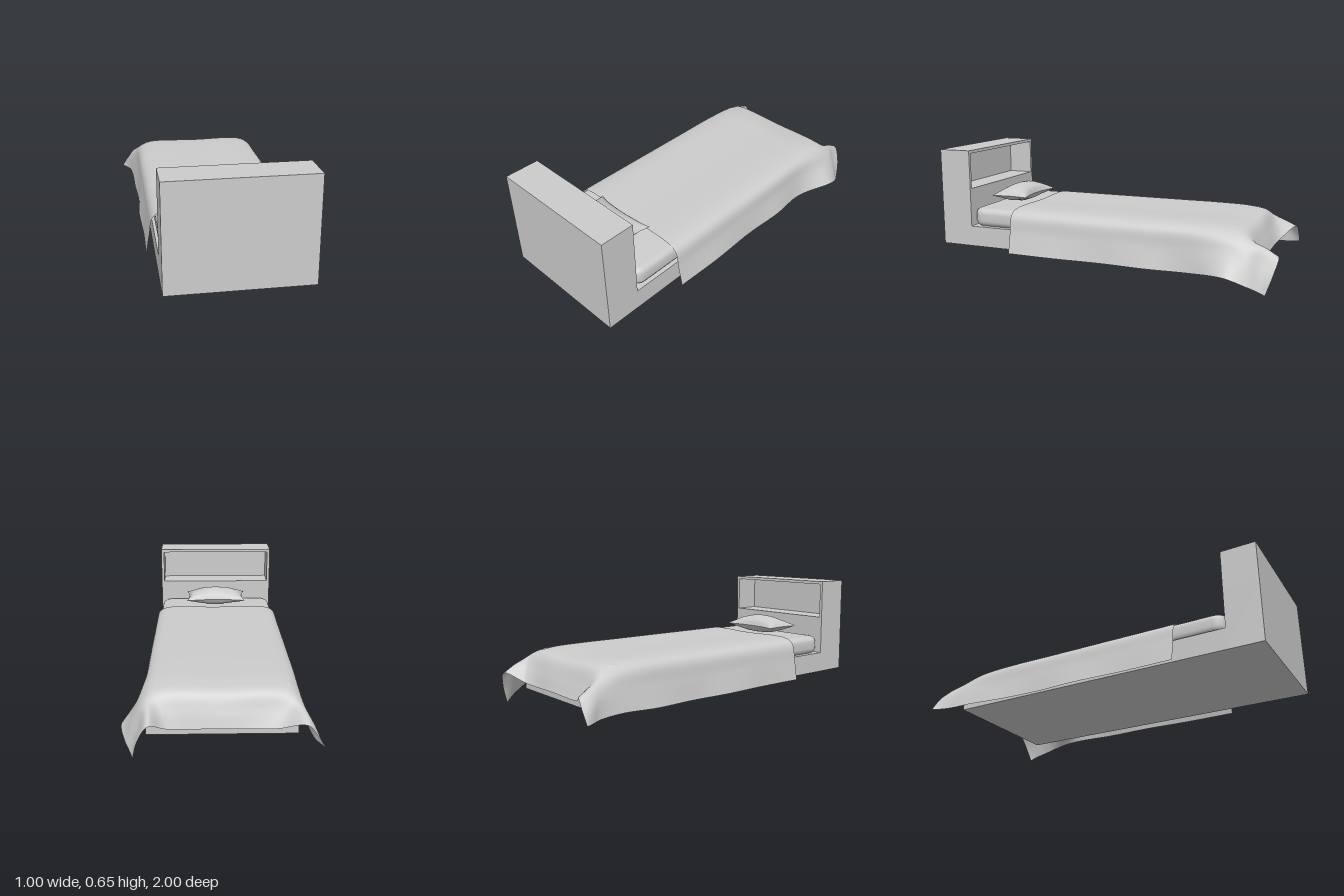
import * as THREE from 'three';
import { toCreasedNormals } from 'three/addons/utils/BufferGeometryUtils.js';

const CX = -0.0075; // centre line of the frame
const WIDTH = 0.755;

// Grid surface: fn(u, v) with u, v in 0..1 gives a point; u runs to +x, v towards -z for an upward face
function sheet(nu, nv, fn) {
  const g = new THREE.PlaneGeometry(1, 1, nu, nv);
  const pos = g.attributes.position;
  for (let i = 0; i < pos.count; i++) {
    const p = fn(pos.getX(i) + 0.5, pos.getY(i) + 0.5);
    pos.setXYZ(i, p.x, p.y, p.z);
  }
  g.computeVertexNormals();
  return g;
}

function roundedRect(w, h, r) {
  const s = new THREE.Shape();
  const x = w / 2, y = h / 2;
  s.absarc(x - r, y - r, r, 0, Math.PI / 2);
  s.absarc(-x + r, y - r, r, Math.PI / 2, Math.PI);
  s.absarc(-x + r, -y + r, r, Math.PI, Math.PI * 1.5);
  s.absarc(x - r, -y + r, r, Math.PI * 1.5, Math.PI * 2);
  s.closePath();
  return s;
}

function mattressGeometry() {
  const bevel = 0.035;
  const g = new THREE.ExtrudeGeometry(roundedRect(0.735 - 2 * bevel, 1.61 - 2 * bevel, 0.035), {
    depth: 0.108 - 2 * bevel, bevelEnabled: true, bevelSize: bevel,
    bevelThickness: bevel, bevelSegments: 5, curveSegments: 6,
  });
  g.rotateX(-Math.PI / 2);
  g.translate(CX, 0.198 + bevel, 0);
  return toCreasedNormals(g, 0.7);
}

// Blanket cross-sections, left hem to right hem, as x, y, z triples
function blanketGeometry() {
  const side = [[-0.43, 0.07], [-0.41, 0.19], [-0.392, 0.28], [-0.345, 0.312], [0, 0.316],
    [0.33, 0.312], [0.377, 0.28], [0.395, 0.19], [0.42, 0.07]];
  const straight = (z, k) => side.flatMap(([x, y], i) => [x + (i === 0 || i === 8 ? k : 0), y, z]);
  const foot = [
    [-0.44, 0.08, -0.76, -0.415, 0.19, -0.75, -0.39, 0.27, -0.74, -0.34, 0.305, -0.74, 0, 0.31, -0.74,
      0.33, 0.305, -0.74, 0.385, 0.27, -0.74, 0.43, 0.19, -0.75, 0.5, 0.09, -0.75],
    [-0.455, 0.075, -0.9, -0.43, 0.18, -0.87, -0.39, 0.25, -0.84, -0.33, 0.285, -0.83, 0, 0.287, -0.83,
      0.32, 0.285, -0.83, 0.38, 0.25, -0.85, 0.43, 0.17, -0.85, 0.475, 0.05, -0.86],
    [-0.48, 0.07, -0.96, -0.45, 0.16, -0.94, -0.4, 0.22, -0.92, -0.31, 0.21, -0.88, 0, 0.205, -0.877,
      0.29, 0.21, -0.885, 0.355, 0.23, -0.93, 0.4, 0.15, -0.92, 0.45, 0.025, -0.91],
    [-0.5, 0.07, -1, -0.46, 0.13, -1, -0.41, 0.185, -0.99, -0.27, 0.135, -0.92, 0, 0.13, -0.905,
      0.26, 0.135, -0.915, 0.35, 0.19, -1, 0.4, 0.11, -0.985, 0.43, 0, -0.95],
  ];
  const rows = [straight(0.53, 0), straight(0.25, 0.004), straight(-0.05, -0.005), straight(-0.3, 0.005),
    straight(-0.54, -0.005), ...foot];
  const curves = rows.map((r) => new THREE.CatmullRomCurve3(
    Array.from({ length: 9 }, (_, i) => new THREE.Vector3(r[3 * i], r[3 * i + 1], r[3 * i + 2]))));
  const cache = new Map();
  return sheet(48, 56, (u, v) => {
    const key = u.toFixed(4);
    if (!cache.has(key)) cache.set(key, new THREE.CatmullRomCurve3(curves.map((c) => c.getPoint(u))));
    return cache.get(key).getPoint(v);
  });
}

// One half of the pillow: pinched corners, puffed middle
function pillowHalf(sign) {
  return sheet(28, 20, (a, b) => {
    const u = a * 2 - 1, v = b * 2 - 1;
    const puff = Math.pow(Math.max(0, (1 - u * u) * (1 - v * v)), 0.55);
    const wrinkle = 1 + 0.06 * Math.sin(u * 9 + v * 4) * Math.abs(u);
    return new THREE.Vector3(
      -0.005 + 0.195 * u * (1 - 0.08 * (1 - v * v)),
      0.357 + sign * (sign > 0 ? 0.062 : 0.048) * puff * wrinkle,
      0.655 - sign * 0.118 * v * (1 - 0.25 * (1 - u * u)));
  });
}

export function createModel() {
  const model = new THREE.Group();
  model.name = 'bed';
  const grey = new THREE.MeshStandardMaterial({ color: 0xcccccc, side: THREE.DoubleSide });
  grey.name = 'plain grey';

  const add = (name, geometry, parent = model) => {
    const mesh = new THREE.Mesh(geometry, grey);
    mesh.name = name;
    parent.add(mesh);
    return mesh;
  };
  const box = (name, x0, x1, y0, y1, z0, z1, parent) => {
    const g = new THREE.BoxGeometry(x1 - x0, y1 - y0, z1 - z0);
    g.translate((x0 + x1) / 2, (y0 + y1) / 2, (z0 + z1) / 2);
    return add(name, g, parent);
  };

  const L = CX - WIDTH / 2, R = CX + WIDTH / 2;
  box('bedBase', L, R, 0.08, 0.2, -0.86, 0.805);

  // Headboard with an open shelf facing the mattress
  const headboard = new THREE.Group();
  headboard.name = 'headboard';
  model.add(headboard);
  const t = 0.018;
  box('headboardLower', L, R, 0.08, 0.425, 0.805, 1, headboard);
  box('headboardBack', L, R, 0.425, 0.65, 0.96, 1, headboard);
  box('headboardTop', L, R, 0.65 - t, 0.65, 0.805, 0.96, headboard);
  box('headboardSide', L, L + t, 0.425, 0.65 - t, 0.805, 0.96, headboard);
  box('headboardSide', R - t, R, 0.425, 0.65 - t, 0.805, 0.96, headboard);

  add('mattress', mattressGeometry());
  add('blanket', blanketGeometry());

  const pillow = new THREE.Group();
  pillow.name = 'pillow';
  model.add(pillow);
  add('pillowTop', pillowHalf(1), pillow);
  add('pillowBottom', pillowHalf(-1), pillow);

  return model;
}
